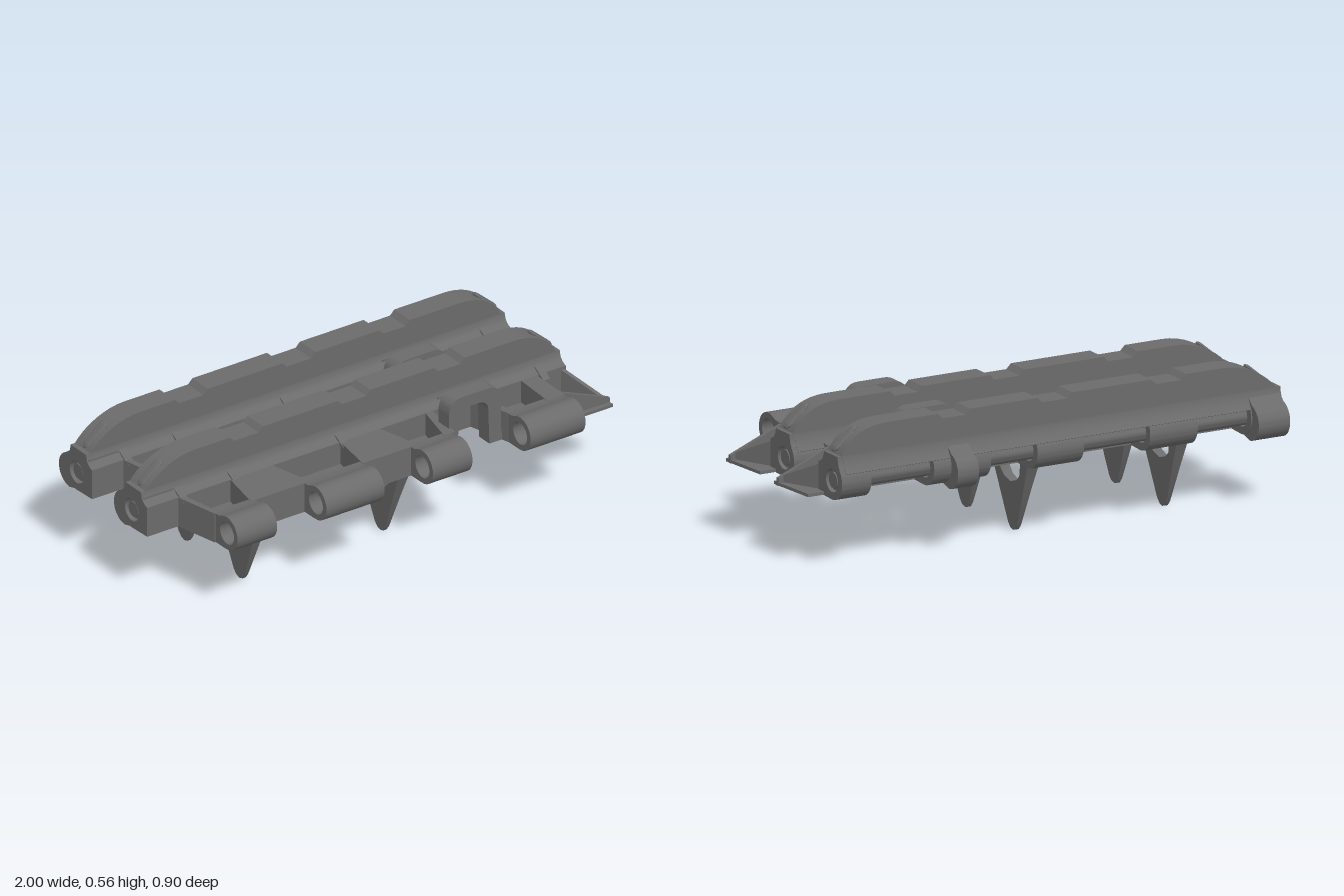
import * as THREE from 'three';
import { toCreasedNormals } from 'three/addons/utils/BufferGeometryUtils.js';

const PITCH = 0.355, PIN_Z = 0.03, PIN_Y = 0.35, EYE_Z = 0.383, HOLE = 0.045;
const material = new THREE.MeshStandardMaterial({ color: 0x6b6b6b, side: THREE.DoubleSide });

function add(group, name, geometry) {
  const mesh = new THREE.Mesh(toCreasedNormals(geometry, 0.6), material);
  mesh.name = name;
  group.add(mesh);
  return mesh;
}
const poly = pts => new THREE.Shape(pts.map(p => new THREE.Vector2(...p)));
const extrude = (shape, depth) =>
  new THREE.ExtrudeGeometry(shape, { depth, bevelEnabled: false, curveSegments: 12 });

// (z, y) outline swept across x0..x1
const sweepX = (shape, x0, x1) =>
  extrude(shape, x1 - x0).rotateY(-Math.PI / 2).translate(x1, 0, 0);
// (x, z) plan outline raised across y0..y1
const sweepY = (pts, y0, y1) =>
  extrude(poly(pts.map(([x, z]) => [x, -z])), y1 - y0).rotateX(-Math.PI / 2).translate(0, y0, 0);
// (x, y) outline swept across z0..z1
const sweepZ = (shape, z0, z1) => extrude(shape, z1 - z0).translate(0, 0, z0);

function bored(shape, z) {
  const hole = new THREE.Path();
  hole.absarc(z, PIN_Y, HOLE, 0, Math.PI * 2, true);
  shape.holes.push(hole);
  return shape;
}

// Front hinge eye with a neck running back into the web
function frontEye() {
  const s = new THREE.Shape();
  s.moveTo(0.29, 0.28);
  s.lineTo(0.37, 0.281);
  s.absarc(EYE_Z, PIN_Y, 0.068, -Math.PI / 2, Math.PI * 0.62, false);
  s.lineTo(0.33, 0.402);
  s.lineTo(0.29, 0.40);
  s.closePath();
  return bored(s, EYE_Z);
}

// Rear hinge hub, joined to the ridge and web
function rearHub() {
  const s = new THREE.Shape();
  s.moveTo(0.13, 0.28);
  s.lineTo(0.13, 0.402);
  s.quadraticCurveTo(0.095, 0.41, 0.09, 0.45);
  s.lineTo(-0.01, 0.45);
  s.quadraticCurveTo(-0.012, 0.42, -0.025, 0.405);
  s.absarc(PIN_Z, PIN_Y, 0.074, Math.PI * 0.77, Math.PI * 1.5, false);
  s.closePath();
  return bored(s, PIN_Z);
}

// Hub whose drooping nose reaches further back
function lug() {
  const s = new THREE.Shape();
  s.moveTo(0.10, 0.30);
  s.lineTo(0.10, 0.43);
  s.lineTo(-0.01, 0.43);
  s.absarc(-0.022, 0.333, 0.07, Math.PI * 0.6, Math.PI * 1.5, false);
  s.lineTo(0.03, 0.277);
  s.closePath();
  return bored(s, PIN_Z);
}

function ridgeProfile() {
  const s = new THREE.Shape();
  s.moveTo(-0.995, 0.40);
  s.bezierCurveTo(-0.995, 0.46, -0.88, 0.555, -0.75, 0.555);
  for (const [a, b] of [[-0.59, -0.44], [-0.10, 0.05], [0.34, 0.48]]) {
    s.lineTo(a, 0.555);
    s.lineTo(a + 0.02, 0.535);
    s.lineTo(b - 0.02, 0.535);
    s.lineTo(b, 0.555);
  }
  s.lineTo(0.70, 0.555);
  s.bezierCurveTo(0.83, 0.555, 0.90, 0.48, 0.912, 0.40);
  s.lineTo(0.88, 0.40);
  s.lineTo(0.86, 0.42);
  s.lineTo(-0.95, 0.42);
  s.closePath();
  return s;
}

// Flared foot of the ridge, arched over the hinge
function flareProfile() {
  const s = new THREE.Shape();
  s.moveTo(0.105, 0.38);
  s.lineTo(0.13, 0.402);
  s.quadraticCurveTo(0.095, 0.41, 0.09, 0.45);
  s.lineTo(-0.01, 0.45);
  s.quadraticCurveTo(-0.012, 0.42, -0.037, 0.385);
  s.absarc(PIN_Z, PIN_Y, 0.074, Math.PI * 0.85, Math.PI * 0.13, true);
  s.closePath();
  return s;
}

// Hoop standing in the slot of the web
function hoopProfile() {
  const s = new THREE.Shape();
  s.moveTo(0.265, 0.28);
  s.quadraticCurveTo(0.272, 0.30, 0.275, 0.34);
  s.lineTo(0.275, 0.45);
  s.quadraticCurveTo(0.275, 0.517, 0.34, 0.517);
  s.lineTo(0.45, 0.517);
  s.quadraticCurveTo(0.512, 0.517, 0.512, 0.45);
  s.lineTo(0.512, 0.34);
  s.quadraticCurveTo(0.515, 0.30, 0.525, 0.28);
  s.lineTo(0.46, 0.28);
  s.lineTo(0.455, 0.42);
  s.quadraticCurveTo(0.455, 0.468, 0.41, 0.468);
  s.lineTo(0.37, 0.468);
  s.quadraticCurveTo(0.32, 0.468, 0.32, 0.42);
  s.lineTo(0.315, 0.28);
  s.closePath();
  return s;
}

// Forked ground spike, thinning towards its tip
function spike(x) {
  const shape = poly([[0.31, 0.285], [0.27, 0.19], [0.205, 0.025], [0.19, 0.006], [0.17, 0],
    [0.15, 0.006], [0.135, 0.025], [0.07, 0.19], [0.03, 0.285], [0.085, 0.285], [0.10, 0.225],
    [0.125, 0.205], [0.17, 0.19], [0.215, 0.205], [0.24, 0.23], [0.255, 0.285]]);
  const g = sweepX(shape, -0.5, 0.5);
  const p = g.attributes.position;
  for (let i = 0; i < p.count; i++) p.setX(i, x + p.getX(i) * (0.012 + 0.13 * p.getY(i)));
  return g;
}

function createLink() {
  const link = new THREE.Group();
  link.name = 'trackLink';

  add(link, 'ridge', sweepZ(ridgeProfile(), -0.01, 0.09));
  add(link, 'ridgeFlare', sweepX(flareProfile(), -0.97, 0.89));

  // Low floor either side of the slot, and the outer wing
  add(link, 'mainFloor', sweepY([[-0.86, 0.1], [0.30, 0.1], [0.28, 0.31], [-0.81, 0.31]], 0.28, 0.31));
  add(link, 'sideFloor', sweepY([[0.48, 0.1], [0.75, 0.1], [0.75, 0.31], [0.525, 0.31]], 0.28, 0.31));
  add(link, 'wing', sweepY([[0.71, 0.09], [0.98, 0.09], [1, 0.31], [0.71, 0.31]], 0.28, 0.292));

  // Raised webs between the pockets: back left, back right, front left, front right
  for (const [a, b, c, d] of [[-0.86, -0.835, -0.815, -0.79], [-0.61, -0.43, -0.65, -0.38],
    [-0.11, 0.06, -0.14, 0.11], [0.28, 0.31, 0.23, 0.28], [0.47, 0.50, 0.525, 0.555],
    [0.71, 0.78, 0.70, 0.78]]) {
    add(link, 'web', sweepY([[a, 0.1], [b, 0.1], [d, 0.31], [c, 0.31]], 0.28, 0.402));
  }
  add(link, 'backWall', sweepY([[-0.86, 0.1], [0.31, 0.1], [0.31, 0.13], [-0.86, 0.13]], 0.28, 0.402));
  add(link, 'sideBackWall', sweepY([[0.47, 0.1], [0.88, 0.1], [0.88, 0.13], [0.47, 0.13]], 0.28, 0.402));

  // Small fins where the web edges meet the ridge
  for (const x of [-0.85, -0.61, -0.12, 0.79])
    add(link, 'ridgeFin', sweepX(poly([[0.08, 0.39], [0.16, 0.39], [0.08, 0.435]]), x, x + 0.03));

  // Wing gussets
  add(link, 'frontGusset', sweepZ(poly([[0.77, 0.28], [1, 0.28], [1, 0.31], [0.78, 0.40]]), 0.275, 0.29));
  const gusset = sweepX(poly([[0.09, 0.28], [0.285, 0.28], [0.285, 0.315], [0.09, 0.41]]), 0, 0.016);
  const gp = gusset.attributes.position;
  for (let i = 0; i < gp.count; i++) gp.setX(i, gp.getX(i) + 0.87 + 0.5 * (gp.getZ(i) - 0.09));
  add(link, 'sideGusset', gusset);

  // Hinge
  for (const [a, b] of [[-0.81, -0.63], [-0.405, -0.14], [0.08, 0.26], [0.525, 0.775]])
    add(link, 'frontEye', sweepX(frontEye(), a, b));
  for (const [a, b] of [[-0.995, -0.85], [-0.62, -0.415], [-0.13, 0.07], [0.27, 0.515], [0.785, 0.912]])
    add(link, 'rearHub', sweepX(rearHub(), a, b));
  for (const [a, b] of [[-0.99, -0.855], [0.35, 0.44]])
    add(link, 'rearLug', sweepX(lug(), a, b));
  for (const [r, length] of [[0.039, 1.88], [0.031, 1.896]])
    add(link, 'hingePin', new THREE.CylinderGeometry(r, r, length, 24)
      .rotateZ(Math.PI / 2).translate(-0.04, PIN_Y, PIN_Z));

  add(link, 'guideHoop', sweepZ(hoopProfile(), 0.21, 0.277));
  add(link, 'spike', spike(-0.597));
  add(link, 'spike', spike(0.045));

  // Rounded pads on the sloping ends of the ridge
  for (const [x, y, tilt] of [[-0.922, 0.494, -0.87], [0.852, 0.502, 0.85]]) {
    const pad = add(link, 'endPad', new THREE.CapsuleGeometry(0.02, 0.09, 4, 12).scale(0.45, 1, 1));
    pad.position.set(x, y, 0.045);
    pad.rotation.z = tilt;
  }
  return link;
}

export function createModel() {
  const model = new THREE.Group();
  model.name = 'trackSection';
  for (let i = 0; i < 2; i++) {
    const link = createLink();
    link.position.z = -PITCH * i;
    model.add(link);
  }
  return model;
}
